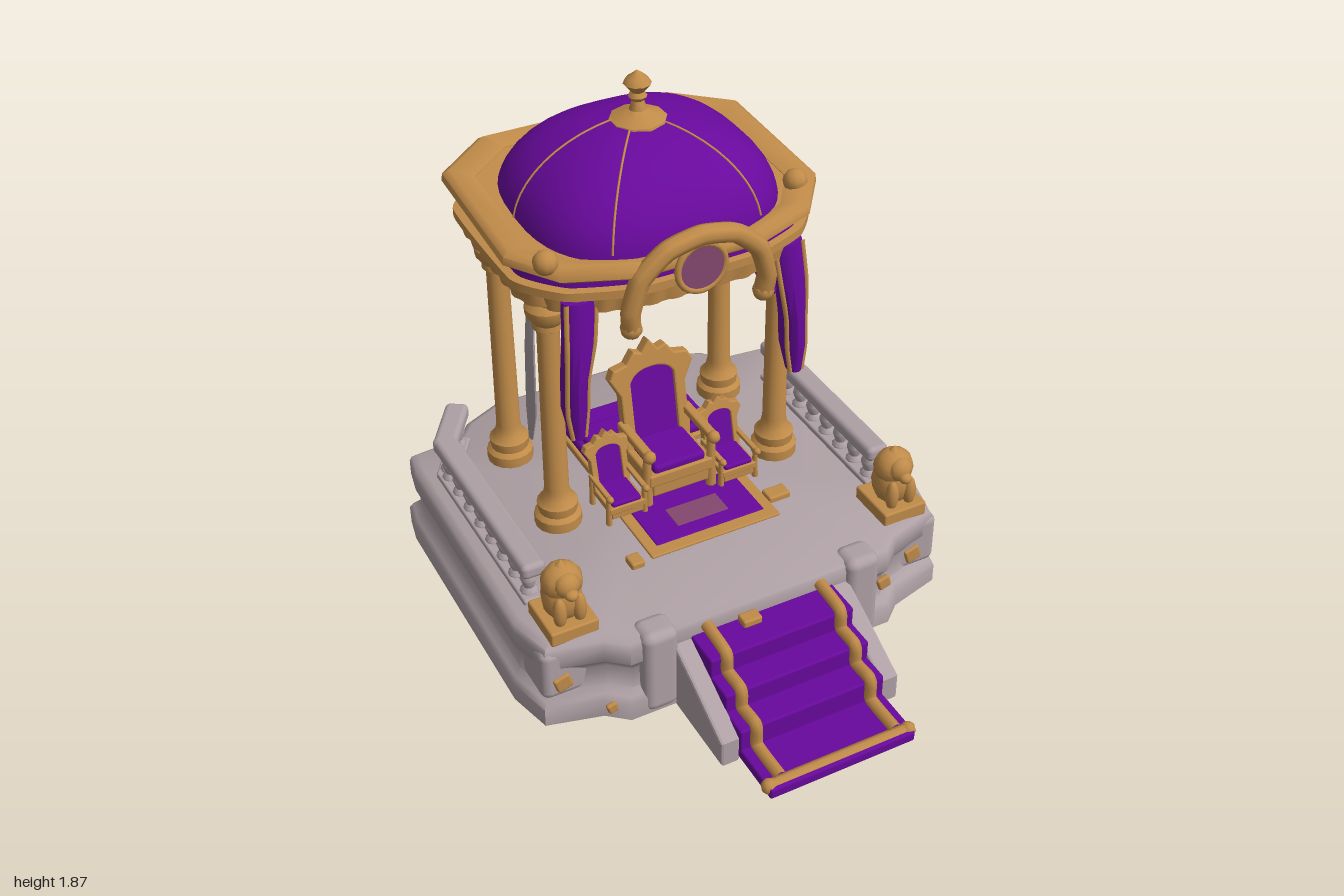
import * as THREE from 'three';
import { toCreasedNormals } from 'three/addons/utils/BufferGeometryUtils.js';
import { RoundedBoxGeometry } from 'three/addons/geometries/RoundedBoxGeometry.js';

const material = (name, color, side = THREE.FrontSide) => {
  const m = new THREE.MeshStandardMaterial({ color, side });
  m.name = name;
  return m;
};
const V = (p) => new THREE.Vector3(...p);

// Skin a list of rings, each running from +x towards +z, from bottom to top
function loft(rings, caps = true, crease = 0.6) {
  const n = rings[0].length, pos = rings.flat(2), idx = [];
  for (let r = 0; r < rings.length - 1; r++) for (let i = 0; i < n; i++) {
    const a = r * n + i, b = r * n + (i + 1) % n;
    idx.push(a, a + n, b, b, a + n, b + n);
  }
  if (caps) [0, rings.length - 1].forEach((r) => {
    const c = pos.length / 3, mid = [0, 0, 0];
    rings[r].forEach((p) => p.forEach((v, k) => { mid[k] += v / n; }));
    pos.push(...mid);
    for (let i = 0; i < n; i++) {
      const a = r * n + i, b = r * n + (i + 1) % n;
      idx.push(c, ...(r ? [b, a] : [a, b]));
    }
  });
  const g = new THREE.BufferGeometry();
  g.setAttribute('position', new THREE.Float32BufferAttribute(pos, 3));
  g.setIndex(idx);
  return toCreasedNormals(g, crease);
}
// Scale a flat outline about (0, cz) and lift it to y, with an optional tilt
const level = (outline, s, y, cz, tilt = 0) =>
  outline.map(([x, z]) => [x * s, y - tilt * z * s, cz + z * s]);
const ellipse = (rx, rz, n, power = 2) => Array.from({ length: n }, (_, i) => {
  const t = i / n * Math.PI * 2, c = Math.cos(t), s = Math.sin(t);
  return [rx * Math.sign(c) * Math.abs(c) ** (2 / power), rz * Math.sign(s) * Math.abs(s) ** (2 / power)];
});
const tube = (pts, r) =>
  new THREE.TubeGeometry(new THREE.CatmullRomCurve3(pts.map(V), false, 'catmullrom', 0.3), pts.length * 8, r, 8);
const lathe = (pts, n = 16) =>
  toCreasedNormals(new THREE.LatheGeometry(pts.map((p) => new THREE.Vector2(...p)), n), 0.7);
const mirror = (half) => [...half, ...half.slice().reverse().map(([x, z]) => [-x, z])];

export function createModel() {
  const stone = material('stone', 0xaea0a4);
  const gold = material('gold', 0xc08b49);
  const purple = material('purple cloth', 0x68099c);
  const mauve = material('mauve glass', 0x84476f);
  const lining = material('grey lining', 0xa69b9f, THREE.DoubleSide);
  const root = new THREE.Group();
  root.name = 'throne pavilion';
  const add = (parent, name, geo, mat, p = [0, 0, 0], rot = [0, 0, 0]) => {
    const m = new THREE.Mesh(geo, mat);
    m.name = name;
    m.position.set(...p);
    m.rotation.set(...rot);
    parent.add(m);
    return m;
  };
  const box = (parent, name, mat, size, p, rot, r = 0.008) =>
    add(parent, name, new RoundedBoxGeometry(...size, 2, Math.min(r, Math.min(...size) * 0.45)), mat, p, rot);
  const group = (name, parent = root) => {
    const g = new THREE.Group();
    g.name = name;
    parent.add(g);
    return g;
  };

  // Moulded stone platform
  const front = [[0.8, 0.45], [0.76, 0.61], [0.57, 0.66], [0.5, 0.72]];
  const back = [[0.36, -0.74], [0.51, -0.67], [0.57, -0.6], [0.77, -0.58], [0.79, -0.48]];
  const plan = [...mirror(front), ...back.slice().reverse().map(([x, z]) => [-x, z]), ...back];
  const profile = [[1, 0], [1, 0.07], [0.985, 0.09], [0.955, 0.11], [0.95, 0.19], [0.965, 0.215],
    [0.98, 0.23], [0.98, 0.29], [0.97, 0.31], [0.94, 0.322]];
  add(root, 'platform', loft(profile.map(([s, y]) => level(plan, s, y, -0.25)), true, 0.9), stone);
  for (const s of [-1, 1]) {
    box(root, 'stairPier', stone, [0.13, 0.335, 0.12], [s * 0.385, 0.168, 0.42], [0, 0, 0], 0.035);
    box(root, 'cornerPier', stone, [0.2, 0.2, 0.18], [s * 0.66, 0.2, 0.27], [0, 0, 0], 0.03);
  }
  // Gold rosettes on the front and on the left side
  for (const [x, y, z, w] of [[-0.69, 0.165, 0.36, 0.06], [0.66, 0.165, 0.36, 0.06], [0.49, 0.165, 0.44, 0.05], [-0.55, 0.05, 0.432, 0.04]])
    box(root, 'frontRosette', gold, [w, w, 0.02], [x, y, z], [0, 0, 0.3], 0.02);
  for (const z of [-0.03, -0.15, -0.28, -0.4])
    box(root, 'sideRosette', gold, [0.03, 0.06, 0.055], [0.758, 0.155, z], [0.2, 0, 0]);

  // Carpeted stairs
  const stairs = group('stairs');
  for (const [z, h] of [[0.985, 0.04], [0.79, 0.12], [0.69, 0.19], [0.59, 0.26]])
    box(stairs, 'carpetStep', purple, [0.54, h, z - 0.42], [0, h / 2, (z + 0.42) / 2]);
  const trim = [[0.46, 0.29], [0.59, 0.275], [0.6, 0.205], [0.69, 0.2], [0.7, 0.13], [0.79, 0.13], [0.8, 0.05], [0.95, 0.045]];
  const wall = new THREE.Shape([[-0.44, 0], [-0.77, 0], [-0.77, 0.08], [-0.58, 0.18], [-0.44, 0.25]]
    .map((p) => new THREE.Vector2(...p)));
  const wallGeo = new THREE.ExtrudeGeometry(wall, { depth: 0.05, bevelSize: 0.01, bevelThickness: 0.01, bevelSegments: 2 });
  for (const s of [-1, 1]) {
    add(stairs, 'carpetTrim', tube(trim.map(([z, y]) => [s * 0.215, y, z]), 0.022), gold);
    add(stairs, 'stairWall', wallGeo, stone, [s * 0.3 - 0.025, 0, 0], [0, Math.PI / 2, 0]);
    add(stairs, 'trimKnob', new THREE.SphereGeometry(0.027, 8, 6), gold, [s * 0.26, 0.03, 0.955]);
  }
  add(stairs, 'frontTrim', new THREE.CylinderGeometry(0.022, 0.022, 0.54, 8), gold, [0, 0.03, 0.955], [0, 0, Math.PI / 2]);
  box(stairs, 'topClasp', gold, [0.07, 0.03, 0.05], [-0.07, 0.28, 0.49]);

  // Balustrades
  const baluster = lathe([[0, 0], [0.032, 0], [0.032, 0.02], [0.019, 0.035], [0.03, 0.07], [0.018, 0.1], [0.032, 0.12], [0, 0.12]], 10);
  function balustrade(name, a, b, count) {
    const g = group(name), dx = b[0] - a[0], dz = b[1] - a[1], len = Math.hypot(dx, dz);
    const mid = [(a[0] + b[0]) / 2, (a[1] + b[1]) / 2], turn = [0, Math.atan2(dx, dz), 0];
    box(g, 'handrail', stone, [0.085, 0.058, len + 0.06], [mid[0], 0.46, mid[1]], turn, 0.02);
    box(g, 'rail foot', stone, [0.08, 0.025, len + 0.04], [mid[0], 0.328, mid[1]], turn);
    for (let i = 0; i < count; i++) {
      const t = (i + 0.3) / (count - 0.4);
      add(g, 'baluster', baluster, stone, [a[0] + dx * t, 0.325, a[1] + dz * t]);
    }
  }
  balustrade('leftBalustrade', [0.645, 0.11], [0.645, -0.61], 8);
  balustrade('rightBalustrade', [-0.675, 0.11], [-0.675, -0.63], 8);
  balustrade('rightBalustradeReturn', [-0.675, -0.63], [-0.57, -0.79], 3);

  // Seated lions on plinths
  for (const s of [-1, 1]) {
    const lion = group(s > 0 ? 'leftLion' : 'rightLion');
    lion.position.set(s * 0.63, 0.32, 0.25);
    box(lion, 'plinth', gold, [0.17, 0.055, 0.19], [0, 0.02, 0]);
    const blob = (name, size, p) => add(lion, name, new THREE.SphereGeometry(1, 10, 8), gold, p).scale.set(...size);
    blob('body', [0.07, 0.095, 0.072], [0, 0.11, -0.005]);
    blob('mane', [0.072, 0.068, 0.065], [0, 0.175, 0]);
    blob('head', [0.045, 0.045, 0.04], [0, 0.185, 0.04]);
    blob('muzzle', [0.024, 0.02, 0.025], [0, 0.17, 0.075]);
    add(lion, 'crest', new THREE.ConeGeometry(0.045, 0.05, 8), gold, [0, 0.235, 0]);
    for (const k of [-1, 1]) blob('foreleg', [0.024, 0.06, 0.024], [k * 0.035, 0.09, 0.055]);
  }

  // Columns
  const column = lathe([[0, 0.32], [0.083, 0.32], [0.083, 0.36], [0.068, 0.375], [0.072, 0.41], [0.052, 0.43], [0.043, 0.47],
    [0.038, 1.12], [0.052, 1.13], [0.05, 1.15], [0.072, 1.18], [0.074, 1.21], [0.055, 1.235], [0.08, 1.25], [0.08, 1.29], [0, 1.29]]);
  for (const x of [-0.43, 0.43]) for (const z of [-0.225, -0.64]) add(root, 'column', column, gold, [x, 0, z]);

  // Canopy: pleated valance, cloth band, faceted gold ring and dome
  const canopy = group('canopy'), cz = -0.43;
  const ringFront = mirror([[0.56, 0.2], [0.44, 0.36], [0.22, 0.44]]);
  const ringPlan = [...ringFront, ...mirror([[-0.55, -0.32], [-0.36, -0.47]])];
  const dense = new THREE.CatmullRomCurve3(ringPlan.map(([x, z]) => V([x, 0, z])), true, 'catmullrom', 0.2)
    .getSpacedPoints(160).slice(0, 160).map((p) => [p.x, p.z]);
  const pleat = dense.map(([x, z], i) => [x, z].map((v) => v * (1 + 0.008 * (i % 4 < 2 ? 1 : -1))));
  add(canopy, 'valance', loft([level(dense, 0.84, 1.32, cz), level(dense, 0.9, 1.27, cz), level(pleat, 0.92, 1.24, cz),
    level(pleat, 0.94, 1.295, cz), level(dense, 0.97, 1.3, cz), level(dense, 0.97, 1.33, cz), level(dense, 0.9, 1.335, cz)]), gold);
  add(canopy, 'clothBand', loft([level(dense, 0.92, 1.33, cz), level(dense, 0.92, 1.41, cz, 0.07)]), purple);
  add(canopy, 'ringShelf', loft([level(dense, 0.93, 1.405, cz, 0.07), level(dense, 0.9, 1.43, cz, 0.07)]), gold);
  add(canopy, 'goldRing', loft([[0.84, 1.4], [0.97, 1.392], [1.015, 1.41], [1.01, 1.437], [0.97, 1.452], [0.84, 1.432], [0.84, 1.4]]
    .map(([s, y]) => level(ringPlan, s, y, cz, 0.07)), false, 1), gold);
  for (const [x, z] of [[0.47, -0.2], [-0.47, -0.12]])
    add(canopy, 'ringKnob', new THREE.SphereGeometry(0.042, 10, 8), gold, [x, 1.435, z]);
  const domePlan = ellipse(0.445, 0.405, 48, 2.7);
  const dome = Array.from({ length: 13 }, (_, i) => {
    const t = i / 12 * 1.5;
    return level(domePlan, Math.cos(t), 1.39 + 0.305 * Math.sin(t), cz);
  });
  add(canopy, 'dome', loft(dome, true, 1), purple);
  for (const k of [24, 16, 8])
    add(canopy, 'domeSeam', tube(dome.slice(1).map((r) => r[k]), 0.004), gold);
  add(canopy, 'finial', lathe([[0, 1.67], [0.1, 1.67], [0.095, 1.69], [0.06, 1.705], [0.03, 1.72], [0.02, 1.75], [0.032, 1.765],
    [0.022, 1.78], [0.047, 1.81], [0.035, 1.828], [0, 1.855]], 10), gold, [0, 0, cz + 0.02]);

  // Front arch and medallion
  add(canopy, 'frontArch', tube([[-0.24, 1.19, 0], [-0.245, 1.26, 0.01], [-0.21, 1.37, 0.015], [-0.12, 1.45, 0.02], [0, 1.475, 0.02],
    [0.12, 1.45, 0.02], [0.21, 1.37, 0.015], [0.245, 1.26, 0.01], [0.24, 1.19, 0]], 0.034), gold);
  for (const x of [-0.24, 0.24]) add(canopy, 'archFoot', new THREE.SphereGeometry(0.037, 10, 8), gold, [x, 1.19, 0]);
  add(canopy, 'medallion', new THREE.CylinderGeometry(0.08, 0.08, 0.04, 20), mauve, [0, 1.365, 0.01], [Math.PI / 2, 0, 0]);
  add(canopy, 'medallionFrame', new THREE.TorusGeometry(0.085, 0.012, 8, 24), gold, [0, 1.36, 0.022]);

  // Hanging curtains: each row is centre x, y, centre z, half width, half depth
  const curtain = (name, rows, mat) => add(root, name, loft(rows.map(([x, y, z, rx, rz]) =>
    ellipse(rx, rz, 14).map(([a, b]) => [x + a, y, z + b]))), mat);
  const frontRows = [[0.41, 0.78, -0.075, 0.025, 0.035], [0.41, 0.88, -0.09, 0.04, 0.06], [0.405, 1.0, -0.09, 0.042, 0.06],
    [0.39, 1.14, -0.08, 0.055, 0.045], [0.375, 1.29, -0.095, 0.06, 0.04]];
  for (const s of [-1, 1]) {
    curtain(s > 0 ? 'leftCurtain' : 'rightCurtain', frontRows.map(([x, ...r]) => [s * x, ...r]), purple);
    for (const k of [-1, 1]) add(root, 'curtainTrim', tube(frontRows.map(([x, y, z, rx, rz]) =>
      [s * (x + k * rx * 0.87), y, z + rz * 0.5]), 0.009), gold);
  }
  curtain('archSwag', [[0.33, 1.1, -0.1, 0.015, 0.02], [0.31, 1.18, -0.1, 0.04, 0.03], [0.3, 1.28, -0.09, 0.05, 0.03]], purple);
  const backRows = [[0.48, 0.87, -0.78, 0.02, 0.05], [0.48, 0.93, -0.78, 0.03, 0.065], [0.46, 1.08, -0.77, 0.03, 0.06],
    [0.43, 1.25, -0.74, 0.03, 0.05]];
  curtain('backCurtain', backRows, purple);
  curtain('backCurtainLining', backRows.slice(0, 3).map(([x, y, z, rx, rz]) => [x - rx * 0.75, y, z, rx * 0.4, rz * 0.55]), lining);
  curtain('sideDrape', [[-0.47, 0.62, -0.33, 0.006, 0.015], [-0.47, 0.75, -0.31, 0.01, 0.04], [-0.465, 1.0, -0.305, 0.01, 0.035],
    [-0.45, 1.26, -0.3, 0.01, 0.02]], lining);

  // Rug and the bench cushions behind the throne
  box(root, 'rugBorder', gold, [0.5, 0.012, 0.34], [0.01, 0.325, -0.05]);
  box(root, 'rug', purple, [0.42, 0.012, 0.25], [0.01, 0.329, -0.05]);
  box(root, 'rugCentre', mauve, [0.2, 0.008, 0.1], [0.01, 0.333, -0.03]);
  for (const [x, z, w] of [[-0.3, 0.11, 0.05], [0.3, 0.02, 0.085]])
    box(root, 'floorStud', gold, [w, 0.03, 0.06], [x, 0.33, z]);
  box(root, 'benchBase', gold, [0.52, 0.03, 0.3], [0.03, 0.332, -0.55]);
  box(root, 'benchCushion', purple, [0.5, 0.04, 0.28], [0.03, 0.362, -0.55], [0, 0, 0], 0.018);
  box(root, 'benchTopCushion', purple, [0.46, 0.03, 0.15], [0.03, 0.393, -0.5], [0, 0, 0], 0.014);

  // Throne and two smaller copies as side chairs
  const frame = new THREE.Shape([[-0.12, 0], [0.12, 0], [0.12, 0.22], [0.155, 0.29], [0.14, 0.32], [0.09, 0.33], [0.06, 0.37], [0.03, 0.36],
    [0, 0.4], [-0.03, 0.36], [-0.06, 0.37], [-0.09, 0.33], [-0.14, 0.32], [-0.155, 0.29], [-0.12, 0.22]].map((p) => new THREE.Vector2(...p)));
  const panel = new THREE.Shape();
  panel.moveTo(-0.09, 0.02).lineTo(0.09, 0.02).lineTo(0.09, 0.26).quadraticCurveTo(0.07, 0.31, 0, 0.31)
    .quadraticCurveTo(-0.07, 0.31, -0.09, 0.26);
  frame.holes.push(panel);
  const frameGeo = new THREE.ExtrudeGeometry(frame, { depth: 0.03, bevelSize: 0.006, bevelThickness: 0.008, bevelSegments: 2 });
  const panelGeo = new THREE.ExtrudeGeometry(panel, { depth: 0.025, bevelEnabled: false });
  function chair(name, p, scale) {
    const g = group(name);
    g.position.set(...p);
    g.scale.set(...scale);
    const rest = group('backrest', g);
    rest.position.set(0, 0.12, -0.08);
    rest.rotation.x = -0.17;
    add(rest, 'backFrame', frameGeo, gold);
    add(rest, 'backPanel', panelGeo, purple);
    box(g, 'seat', gold, [0.25, 0.05, 0.22], [0, 0.11, 0.02]);
    box(g, 'seatCushion', purple, [0.2, 0.04, 0.19], [0, 0.145, 0.025], [0, 0, 0], 0.015);
    box(g, 'apron', gold, [0.22, 0.05, 0.02], [0, 0.065, 0.115]);
    for (const s of [-1, 1]) {
      box(g, 'armrest', gold, [0.035, 0.03, 0.22], [s * 0.125, 0.225, 0.02]);
      add(g, 'armKnob', new THREE.SphereGeometry(0.024, 8, 6), gold, [s * 0.125, 0.225, 0.13]);
      for (const z of [-0.08, 0.11])
        add(g, z > 0 ? 'frontLeg' : 'backLeg', new THREE.CylinderGeometry(0.015, 0.02, 0.22, 8), gold, [s * 0.125, 0.11, z]);
    }
  }
  chair('throne', [0, 0.325, -0.25], [1, 1, 1]);
  for (const s of [-1, 1]) chair(s > 0 ? 'leftChair' : 'rightChair', [s * 0.22, 0.325, -0.19], [0.55, 0.52, 0.7]);
  return root;
}
